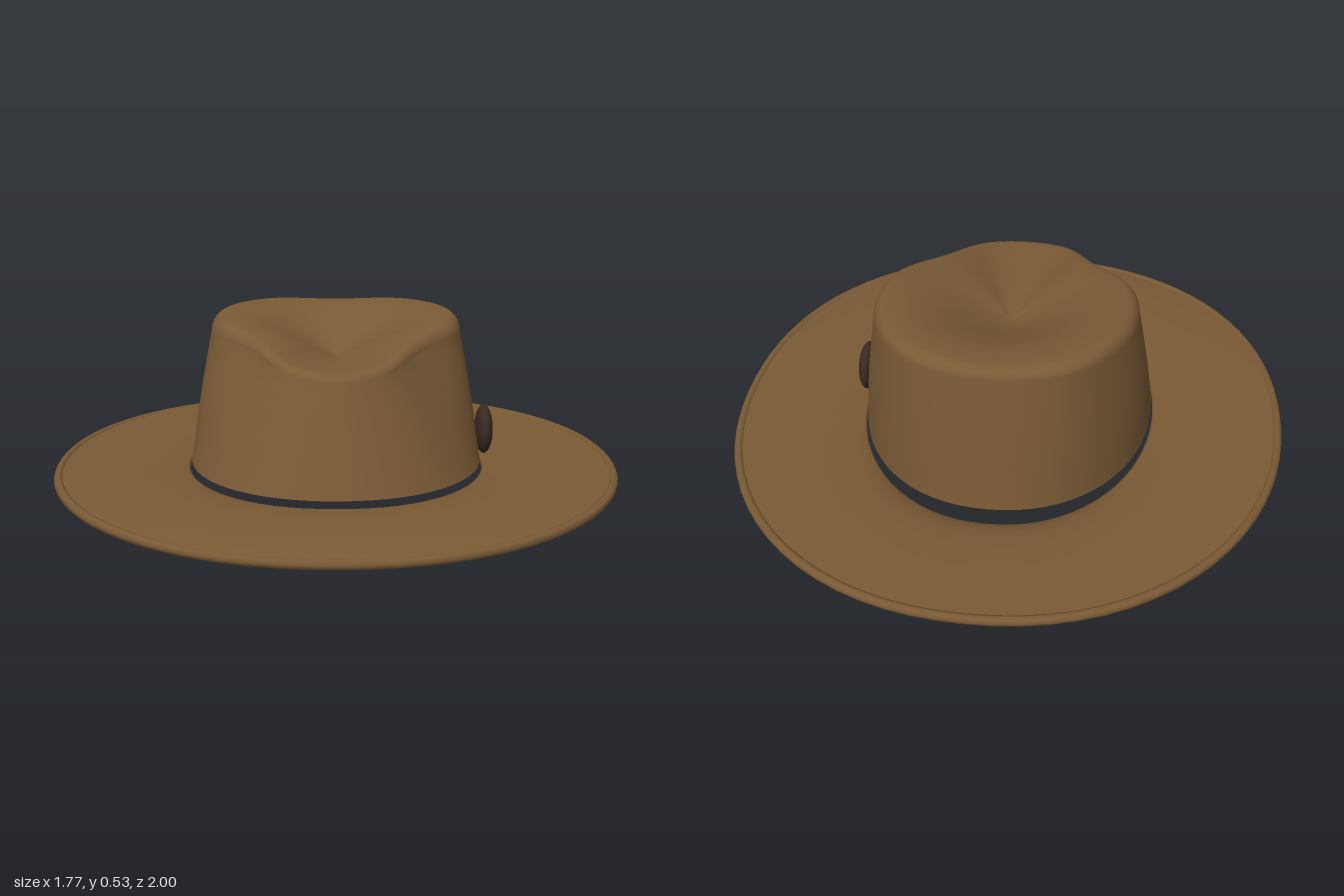
import * as THREE from 'three';

const SEGMENTS = 72;
const lerp = THREE.MathUtils.lerp;

// Rounded oval; angle 0 is the front (+z), a quarter turn is +x
function oval(t, rx, rz, y = 0, power = 0.94) {
  const soft = (v) => Math.sign(v) * Math.abs(v) ** power;
  return new THREE.Vector3(rx * soft(Math.sin(t)), y, rz * soft(Math.cos(t)));
}

// Blend of front, side and back values around the hat
function around(t, front, side, back) {
  const c = Math.cos(t);
  return lerp(side, c > 0 ? front : back, c * c);
}

// Smooth closed skin through rows of points, each row a loop round the hat
function loft(rows, pointAt) {
  const positions = [], index = [];
  rows.forEach((row, r) => {
    for (let i = 0; i < SEGMENTS; i++) {
      positions.push(...pointAt(row, i / SEGMENTS).toArray());
      if (r === rows.length - 1) continue;
      const a = r * SEGMENTS + i, b = r * SEGMENTS + (i + 1) % SEGMENTS;
      index.push(a, b, a + SEGMENTS, b, b + SEGMENTS, a + SEGMENTS);
    }
  });
  const geometry = new THREE.BufferGeometry();
  geometry.setAttribute('position', new THREE.Float32BufferAttribute(positions, 3));
  geometry.setIndex(index);
  geometry.computeVertexNormals();
  return geometry;
}

function crownGeometry() {
  // Ridge of the pinched top, front to back, mirrored to the other side
  const half = [
    [0, 0.405, 0.435], [0.135, 0.425, 0.375], [0.23, 0.472, 0.2], [0.35, 0.505, 0.02],
    [0.35, 0.522, -0.22], [0.22, 0.526, -0.42], [0, 0.517, -0.475],
  ].map((p) => new THREE.Vector3(...p));
  const mirrored = half.slice(1, -1).reverse().map((p) => new THREE.Vector3(-p.x, p.y, p.z));
  const ridge = new THREE.CatmullRomCurve3([...half, ...mirrored], true, 'catmullrom', 0.5);
  const dent = new THREE.Vector3(0, 0.385, -0.03);

  // Rows 0..1 wall, 1..2 rounded shoulder, 2..3 dented top
  const rows = [];
  for (let i = 0; i <= 8; i++) rows.push(i / 8);
  for (let i = 1; i <= 6; i++) rows.push(1 + i / 6);
  for (let i = 1; i <= 14; i++) rows.push(2 + i / 14 * 0.998);

  return loft(rows, (s, u) => {
    const t = u * Math.PI * 2;
    const top = ridge.getPoint(u);
    const out = new THREE.Vector3(top.x, 0, top.z - dent.z).normalize();
    const shoulder = top.clone().addScaledVector(out, 0.042);
    shoulder.y -= around(t, 0.025, 0.05, 0.03);
    if (s <= 1) {
      const p = oval(t, 0.465, 0.573, 0.066).lerp(shoulder, s);
      return p.addScaledVector(out, 0.03 * Math.sin(Math.PI * s) * around(t, 0, 0.3, 0));
    }
    if (s <= 2) {
      const a = (s - 1) * Math.PI / 2;
      const p = top.clone().addScaledVector(out, 0.042 * Math.cos(a));
      p.y = lerp(shoulder.y, top.y, Math.sin(a));
      return p;
    }
    const k = 3 - s;
    const p = dent.clone().lerp(top, k);
    // Bowl with a narrow crease running to the back
    const bowl = Math.sin(k * Math.PI / 2) ** around(t, 1.2, 1.3, 1.6);
    p.y = lerp(dent.y, top.y, bowl);
    return p;
  });
}

function brimGeometry() {
  // Upper face from rim to opening, then lower face back out
  const rows = [];
  for (let i = 0; i <= 16; i++) rows.push([(1 - i / 16) ** 1.5, 0]);
  for (let i = 0; i <= 16; i++) rows.push([(i / 16) ** 1.5, 0.015]);
  return loft(rows, ([k, thickness], u) => {
    const t = u * Math.PI * 2;
    const middle = around(t, 0.066, 0.06, 0.056);
    const edge = around(t, 0.036, 0.062, 0.056);
    const drop = middle - around(t, 0.045, 0.046, 0.016);
    const p = oval(t, 0.471, 0.58).lerp(oval(t, 0.873, 0.985), k);
    p.y = lerp(middle, edge, k ** 3) - drop * Math.exp(-8 * k) - thickness;
    return p;
  });
}

function bindingGeometry() {
  const points = [];
  for (let i = 0; i < 40; i++) {
    const t = i / 40 * Math.PI * 2;
    points.push(oval(t, 0.873, 0.985, around(t, 0.028, 0.054, 0.048)));
  }
  return new THREE.TubeGeometry(new THREE.CatmullRomCurve3(points, true), 80, 0.0145, 8, true);
}

export function createModel() {
  const felt = new THREE.MeshStandardMaterial({ color: 0x7a5a35, side: THREE.DoubleSide });
  felt.name = 'brown felt';
  const dark = new THREE.MeshStandardMaterial({ color: 0x3b2a23 });
  dark.name = 'dark brown';

  const hat = new THREE.Group();
  hat.name = 'hat';
  const add = (name, geometry, material) => {
    const mesh = new THREE.Mesh(geometry, material);
    mesh.name = name;
    hat.add(mesh);
    return mesh;
  };

  add('crown', crownGeometry(), felt);
  add('brim', brimGeometry(), felt);
  add('brimBinding', bindingGeometry(), felt);

  // Flattened round button on the left side
  const button = add('sideButton', new THREE.SphereGeometry(0.08, 24, 16), dark);
  button.scale.x = 0.36;
  button.position.set(0.482, 0.145, 0.005);
  return hat;
}
